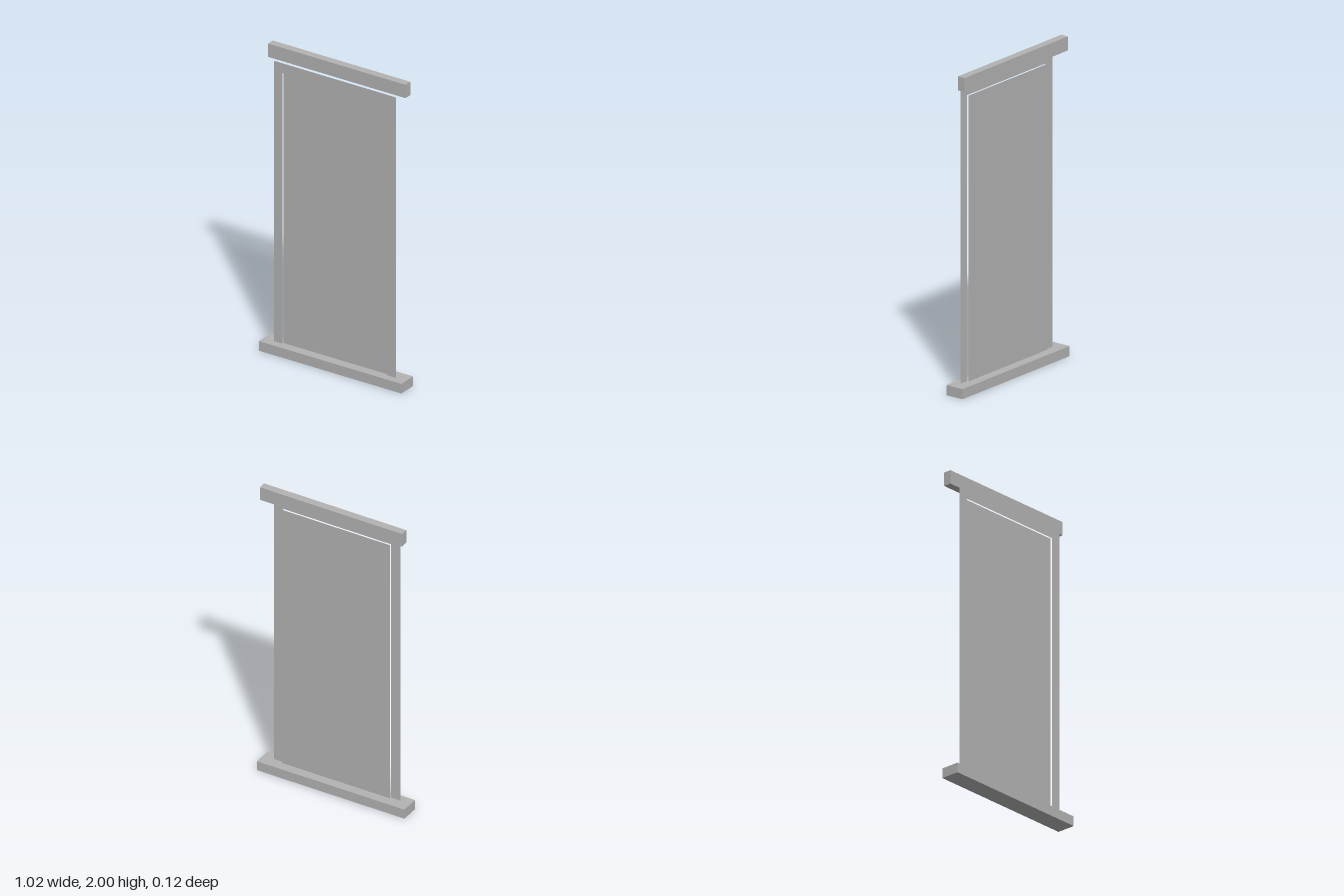
import * as THREE from 'three';

export function createModel() {
  const group = new THREE.Group();
  const grey = new THREE.MeshStandardMaterial({ color: 0xb2b2b2, side: THREE.DoubleSide });
  grey.name = 'plain grey';

  const SILL_TOP = 0.063, LINTEL_BOTTOM = 1.912;
  const OUTER = 0.437, INNER = 0.374, INNER_TOP = 1.847;

  function add(name, geometry, x = 0, y = 0, z = 0) {
    const mesh = new THREE.Mesh(geometry, grey);
    mesh.name = name;
    mesh.position.set(x, y, z);
    group.add(mesh);
  }

  // Box given by its low and high corners
  function addBox(name, [x0, y0, z0], [x1, y1, z1]) {
    add(name, new THREE.BoxGeometry(x1 - x0, y1 - y0, z1 - z0),
      (x0 + x1) / 2, (y0 + y1) / 2, (z0 + z1) / 2);
  }

  // Sill and lintel
  addBox('sill', [-0.51, 0, -0.061], [0.51, SILL_TOP, 0.061]);
  addBox('lintel', [-0.493, LINTEL_BOTTOM, -0.061], [0.49, 2, -0.011]);

  // Flat surround: two jambs and a head, open at the sill
  const outline = [
    [-OUTER, SILL_TOP], [-INNER, SILL_TOP], [-INNER, INNER_TOP], [INNER, INNER_TOP],
    [INNER, SILL_TOP], [OUTER, SILL_TOP], [OUTER, LINTEL_BOTTOM], [-OUTER, LINTEL_BOTTOM],
  ].map(([x, y]) => new THREE.Vector2(x, y));
  add('surround', new THREE.ShapeGeometry(new THREE.Shape(outline)), 0, 0, 0.012);

  // Panel set just behind the surround
  add('panel', new THREE.PlaneGeometry(INNER * 2, INNER_TOP - SILL_TOP),
    0, (INNER_TOP + SILL_TOP) / 2, 0);

  return group;
}
